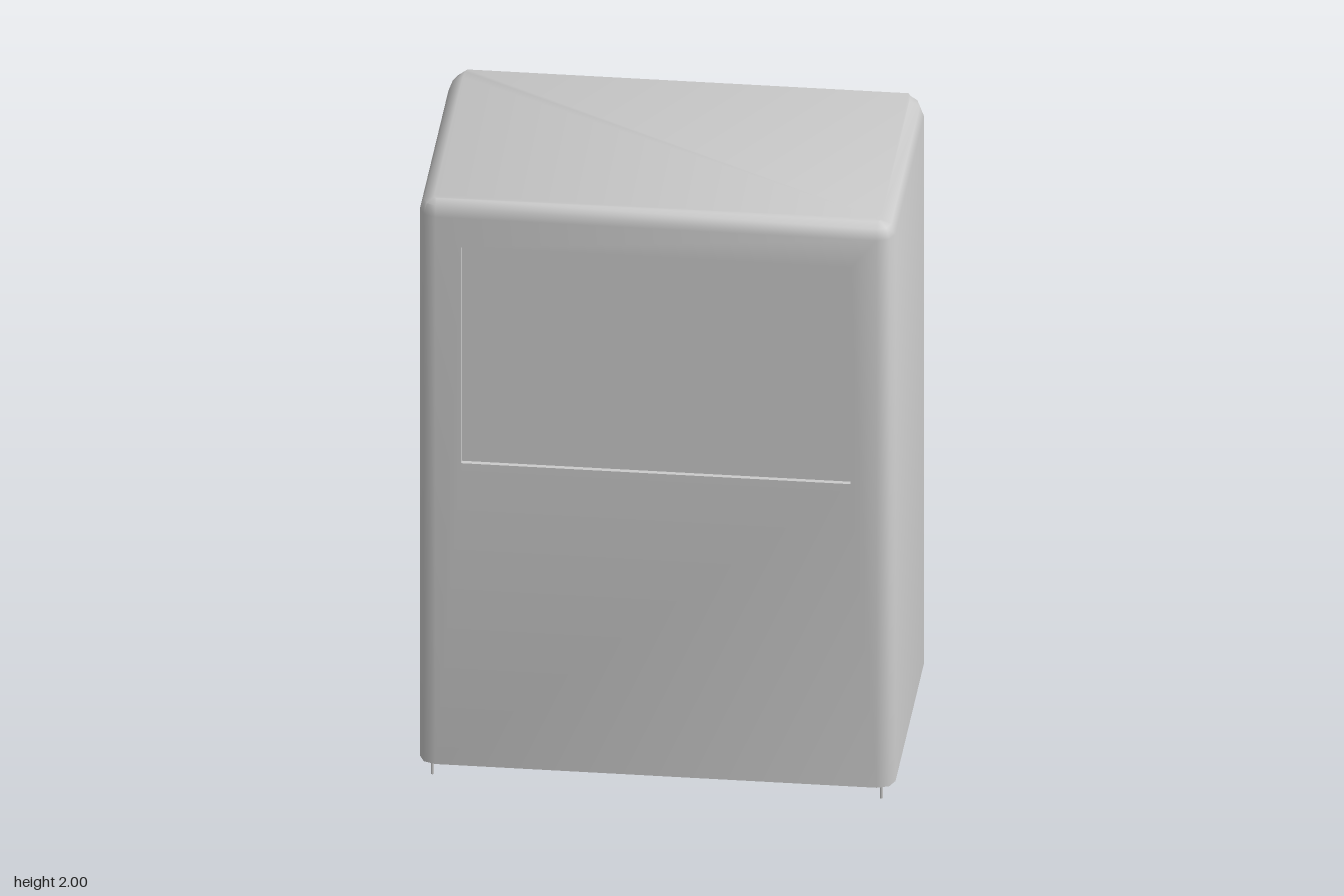
import * as THREE from 'three';
import { mergeGeometries, toCreasedNormals } from 'three/addons/utils/BufferGeometryUtils.js';

const BOTTOM = 0.05, SHOULDER = 1.95, FRONT = 0.435;
const FLAT_X = 0.68, FLAT_Z = 0.385; // ends of the flat faces, before the corners
const STEPS = 2; // segments per rounded corner

// Non-indexed geometry from a list of quads or triangles of Vector3
function fromFaces(faces) {
  const points = faces.flatMap(f => f.length === 4 ? [f[0], f[1], f[2], f[0], f[2], f[3]] : f);
  return new THREE.BufferGeometry().setFromPoints(points);
}

// Plan outline with rounded corners; the back is never inset
function ring(y, insetX, insetFront) {
  const pts = [];
  const signs = [[1, 1], [-1, 1], [-1, -1], [1, -1]];
  signs.forEach(([sx, sz], corner) => {
    for (let i = 0; i <= STEPS; i++) {
      const a = (corner + i / STEPS) * Math.PI / 2;
      const rx = 0.053 - insetX, rz = 0.05 - (sz > 0 ? insetFront : 0);
      pts.push(new THREE.Vector3(sx * FLAT_X + rx * Math.cos(a), y, sz * FLAT_Z + rz * Math.sin(a)));
    }
  });
  return pts;
}

function cabinetGeometry(opening) {
  const rings = [ring(BOTTOM, 0, 0)];
  for (let i = 0; i <= STEPS; i++) {
    const t = i / STEPS * Math.PI / 2, inset = 1 - Math.cos(t);
    rings.push(ring(SHOULDER + 0.05 * Math.sin(t), 0.045 * inset, 0.03 * inset));
  }
  const faces = [], n = rings[0].length, top = rings[rings.length - 1], base = rings[0];
  for (let k = 0; k < rings.length - 1; k++) {
    for (let j = 0; j < n; j++) {
      if (k === 0 && j === STEPS) continue; // front panel is added below
      const m = (j + 1) % n;
      faces.push([rings[k][j], rings[k + 1][j], rings[k + 1][m], rings[k][m]]);
    }
  }
  for (let j = 1; j < n - 1; j++) {
    faces.push([top[0], top[j + 1], top[j]], [base[0], base[j], base[j + 1]]);
  }
  // Front panel with the window opening
  const panel = new THREE.Shape([[-1, BOTTOM], [1, BOTTOM], [1, SHOULDER], [-1, SHOULDER]]
    .map(([s, y]) => new THREE.Vector2(s * FLAT_X, y)));
  panel.holes.push(new THREE.Path(opening));
  const front = new THREE.ShapeGeometry(panel).toNonIndexed().translate(0, 0, FRONT);
  front.deleteAttribute('normal');
  front.deleteAttribute('uv');
  return toCreasedNormals(mergeGeometries([fromFaces(faces), front]), 1);
}

// Shallow walls and floor behind the opening
function recessGeometry(opening, depth) {
  const rim = opening.map(p => new THREE.Vector3(p.x, p.y, FRONT));
  const floor = opening.map(p => new THREE.Vector3(p.x, p.y, FRONT - depth));
  const faces = [floor];
  for (let i = 0; i < 4; i++) {
    const j = (i + 1) % 4;
    faces.push([rim[i], rim[j], floor[j], floor[i]]);
  }
  const geometry = fromFaces(faces);
  geometry.computeVertexNormals();
  return geometry;
}

export function createModel() {
  const group = new THREE.Group();
  const material = new THREE.MeshStandardMaterial({ color: 0xcccccc });
  const add = (name, geometry) => {
    const mesh = new THREE.Mesh(geometry, material);
    mesh.name = name;
    group.add(mesh);
    return mesh;
  };

  const opening = [[-0.6, 1.1], [0.6, 1.1], [0.6, 1.85], [-0.6, 1.85]]
    .map(([x, y]) => new THREE.Vector2(x, y));
  add('cabinet', cabinetGeometry(opening));
  add('windowRecess', recessGeometry(opening, 0.016));

  // Four thin pin feet
  const footGeometry = new THREE.CylinderGeometry(0.005, 0.005, BOTTOM, 8);
  for (const [zName, z] of [['front', 0.405], ['back', -0.405]]) {
    for (const [xName, x] of [['Left', 0.692], ['Right', -0.692]]) {
      add(`${zName}${xName}Foot`, footGeometry).position.set(x, BOTTOM / 2, z);
    }
  }
  return group;
}
